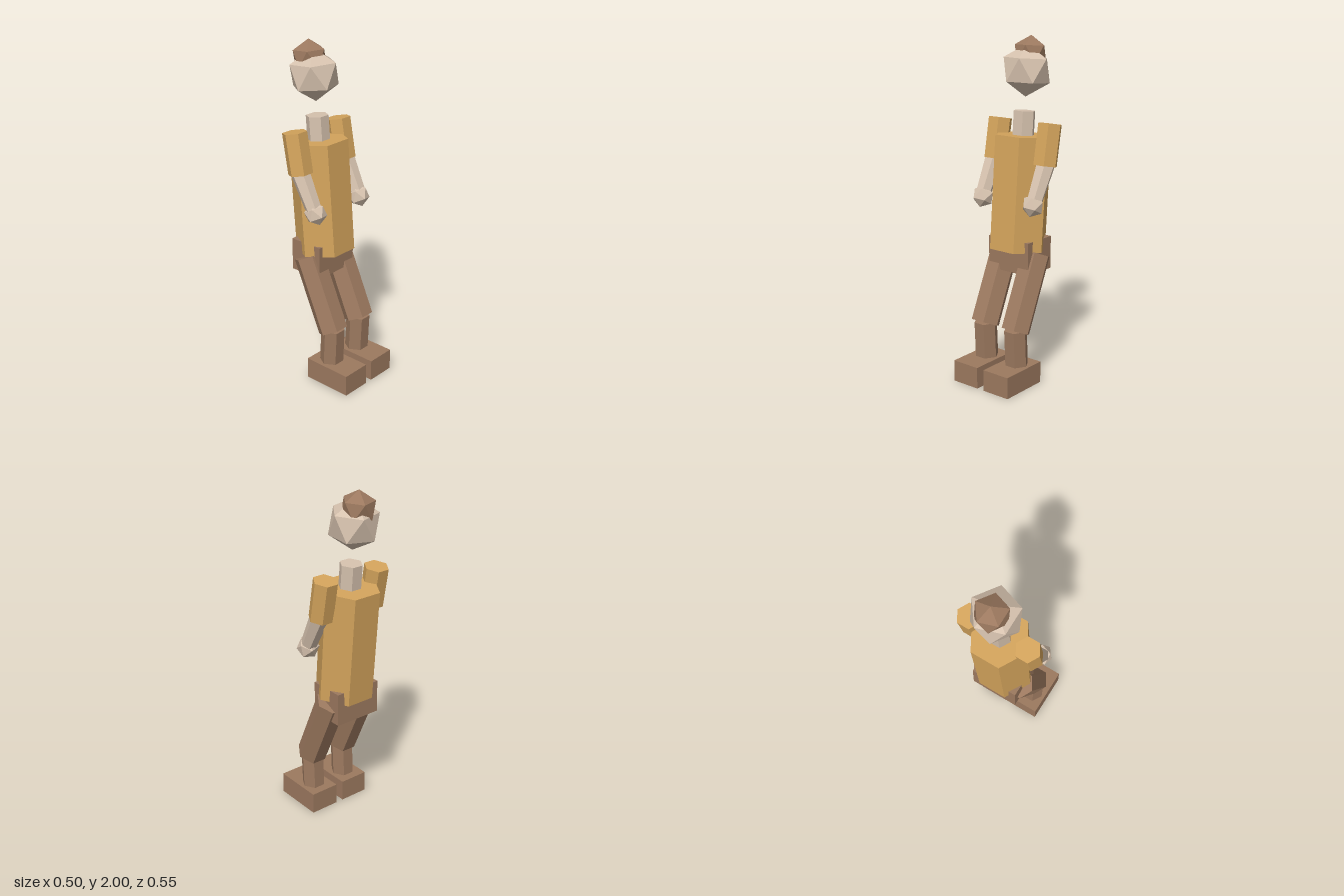
import * as THREE from 'three';

function material(name, color) {
  const m = new THREE.MeshStandardMaterial({ color, flatShading: true });
  m.name = name;
  return m;
}

export function createModel() {
  const ochre = material('ochre cloth', 0xd4a45c);
  const skin = material('skin', 0xd6c2ae);
  const brown = material('brown', 0x9c795f);

  const model = new THREE.Group();
  model.name = 'figure';

  function add(name, geometry, mat, x, y, z, tilt = 0) {
    const mesh = new THREE.Mesh(geometry, mat);
    mesh.name = name;
    mesh.position.set(x, y, z);
    mesh.rotation.x = tilt;
    model.add(mesh);
  }

  // Hexagonal prism running between two [y, z] points, flat side forward
  function prism(name, mat, x, [y0, z0], [y1, z1], rBottom, rTop = rBottom) {
    const length = Math.hypot(y1 - y0, z1 - z0);
    const g = new THREE.CylinderGeometry(rTop, rBottom, length, 6, 1, false, Math.PI / 6);
    add(name, g, mat, x, (y0 + y1) / 2, (z0 + z1) / 2, Math.atan2(z1 - z0, y1 - y0));
  }

  // Icosahedron standing on one of its corners
  function ball(name, mat, r, x, y, z, tilt) {
    const g = new THREE.IcosahedronGeometry(r, 0);
    g.rotateZ(-Math.atan(2 / (1 + Math.sqrt(5))));
    add(name, g, mat, x, y, z, tilt);
  }

  // Body and head, leaning slightly back
  const lean = -0.078;
  prism('torso', ochre, 0, [0.778, -0.058], [1.44, -0.11], 0.173);
  prism('neck', skin, 0, [1.38, -0.101], [1.578, -0.117], 0.066);
  ball('head', skin, 0.15, 0, 1.806, -0.136, lean);
  ball('hair', brown, 0.102, 0, 1.898, -0.17, lean);
  add('pelvis', new THREE.BoxGeometry(0.29, 0.195, 0.215), brown, 0, 0.75, -0.078);

  // Arms and legs
  for (const [side, s] of [['left', 1], ['right', -1]]) {
    prism(side + 'UpperArm', ochre, s * 0.18, [1.287, -0.077], [1.521, -0.12], 0.072);
    prism(side + 'Forearm', skin, s * 0.187, [1.085, 0.034], [1.3, -0.077], 0.046, 0.056);
    ball(side + 'Hand', skin, 0.066, s * 0.183, 1.078, 0.037, -0.47);
    prism(side + 'Thigh', brown, s * 0.114, [0.334, 0.105], [0.757, -0.085], 0.089);
    prism(side + 'Shin', brown, s * 0.113, [0.12, 0.092], [0.345, 0.103], 0.07);
    add(side + 'Foot', new THREE.BoxGeometry(0.178, 0.128, 0.305), brown, s * 0.113, 0.064, 0.133);
  }

  return model;
}
